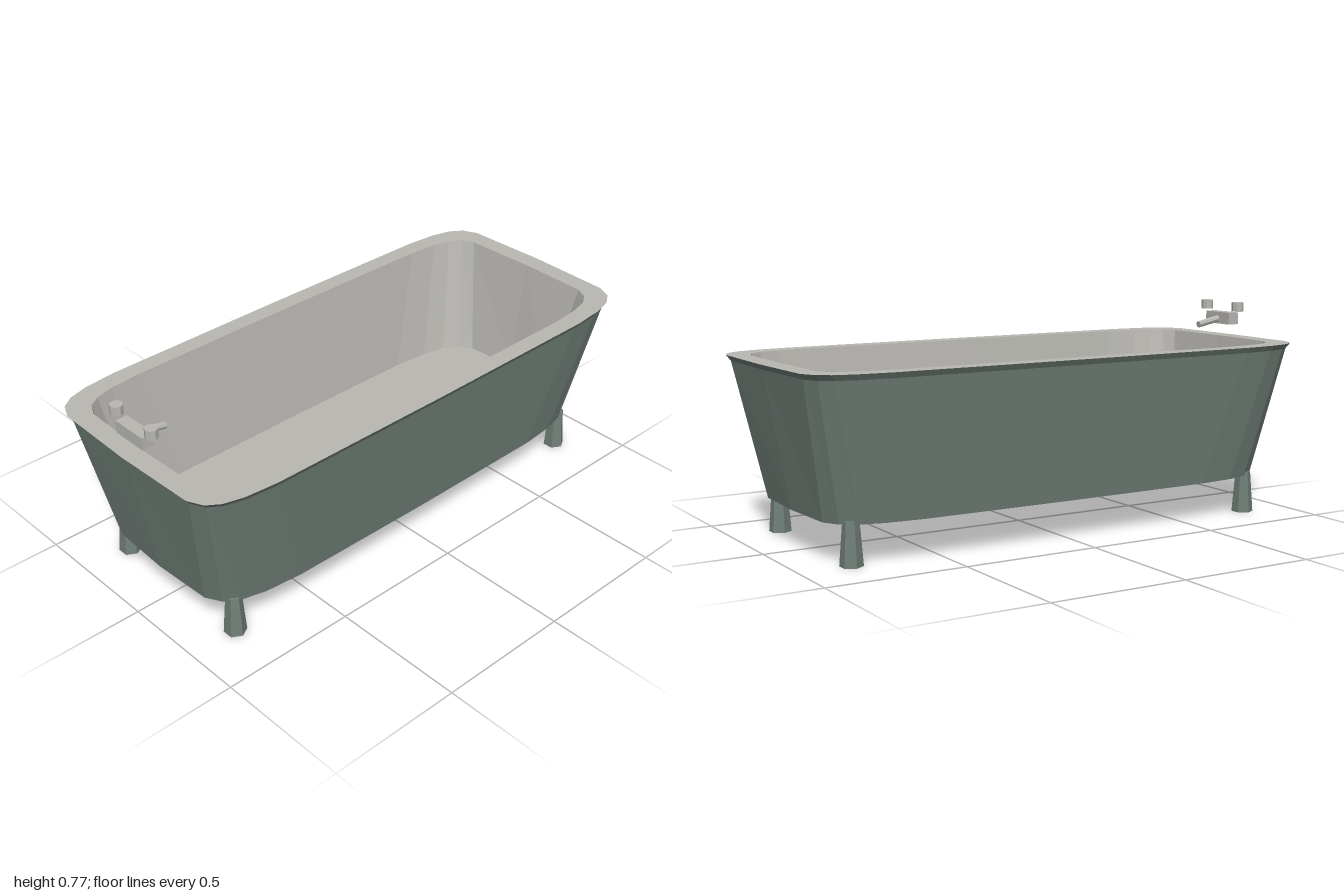
import * as THREE from 'three';

const SEGMENTS = 24;

// Superellipse ring: half length a, half width b, height y, power p (smaller is squarer)
function ring(a, b, y, p) {
  const soft = (v) => Math.sign(v) * Math.pow(Math.abs(v), p);
  return Array.from({ length: SEGMENTS }, (_, i) => {
    const t = (i / SEGMENTS) * Math.PI * 2;
    const c = Math.round(Math.cos(t) * 1e6) / 1e6;
    const s = Math.round(Math.sin(t) * 1e6) / 1e6;
    return [a * soft(c), y, b * soft(s)];
  });
}

// Skin a series of rings; optionally close the first or last one with a cap
function loft(sections, capStart, capEnd) {
  const rings = sections.map((s) => ring(...s));
  const pos = [];
  const tri = (a, b, c) => pos.push(...a, ...b, ...c);
  for (let k = 0; k < rings.length - 1; k++) {
    for (let i = 0; i < SEGMENTS; i++) {
      const j = (i + 1) % SEGMENTS;
      const [p, q, r, s] = [rings[k][i], rings[k][j], rings[k + 1][j], rings[k + 1][i]];
      tri(p, s, r);
      tri(p, r, q);
    }
  }
  const cap = (pts, up) => {
    const centre = [0, pts[0][1], 0];
    pts.forEach((p, i) => {
      const q = pts[(i + 1) % SEGMENTS];
      if (up) tri(centre, q, p);
      else tri(centre, p, q);
    });
  };
  if (capStart) cap(rings[0], false);
  if (capEnd) cap(rings[rings.length - 1], true);
  const geo = new THREE.BufferGeometry();
  geo.setAttribute('position', new THREE.Float32BufferAttribute(pos, 3));
  geo.computeVertexNormals();
  return geo;
}

export function createModel() {
  const model = new THREE.Group();
  model.name = 'bathtub';

  const green = new THREE.MeshStandardMaterial({ color: 0x717f78 });
  green.name = 'grey green paint';
  const grey = new THREE.MeshStandardMaterial({ color: 0xb8b7b2 });
  grey.name = 'warm grey enamel';
  green.flatShading = grey.flatShading = true;

  const add = (name, geo, mat, x = 0, y = 0, z = 0, parent = model) => {
    const mesh = new THREE.Mesh(geo, mat);
    mesh.name = name;
    mesh.position.set(x, y, z);
    parent.add(mesh);
    return mesh;
  };

  // Painted shell, rounder at the base and squarer at the flared lip
  add('outerShell', loft([
    [0.895, 0.363, 0.14, 0.33],
    [0.985, 0.432, 0.62, 0.24],
    [1.0, 0.443, 0.64, 0.24],
  ], true, false), green);

  // Flat rim, sloping inner walls and basin floor
  add('rimAndBasin', loft([
    [1.0, 0.443, 0.64, 0.24],
    [0.928, 0.377, 0.64, 0.24],
    [0.872, 0.318, 0.2, 0.35],
  ], false, true), grey);

  // Four tapered hexagonal feet
  for (const sx of [-1, 1]) {
    for (const sz of [-1, 1]) {
      add(`${sz > 0 ? 'front' : 'back'}${sx > 0 ? 'Left' : 'Right'}Leg`,
        new THREE.CylinderGeometry(0.028, 0.04, 0.152, 6), green,
        sx * 0.815, 0.076, sz * 0.298);
    }
  }

  // Tap block, sloping spout and two knobs
  const tap = new THREE.Group();
  tap.name = 'tap';
  model.add(tap);
  add('tapBlock', new THREE.BoxGeometry(0.046, 0.046, 0.14), grey, -0.943, 0.71, 0, tap);
  const spout = add('spout', new THREE.CylinderGeometry(0.013, 0.013, 0.11, 8),
    grey, -0.88, 0.698, 0, tap);
  spout.rotation.z = -Math.PI / 2 - 0.2;
  for (const sz of [-1, 1]) {
    add(sz > 0 ? 'frontKnob' : 'backKnob', new THREE.CylinderGeometry(0.023, 0.023, 0.035, 8),
      grey, -0.943, 0.757, sz * 0.093, tap);
  }
  return model;
}
